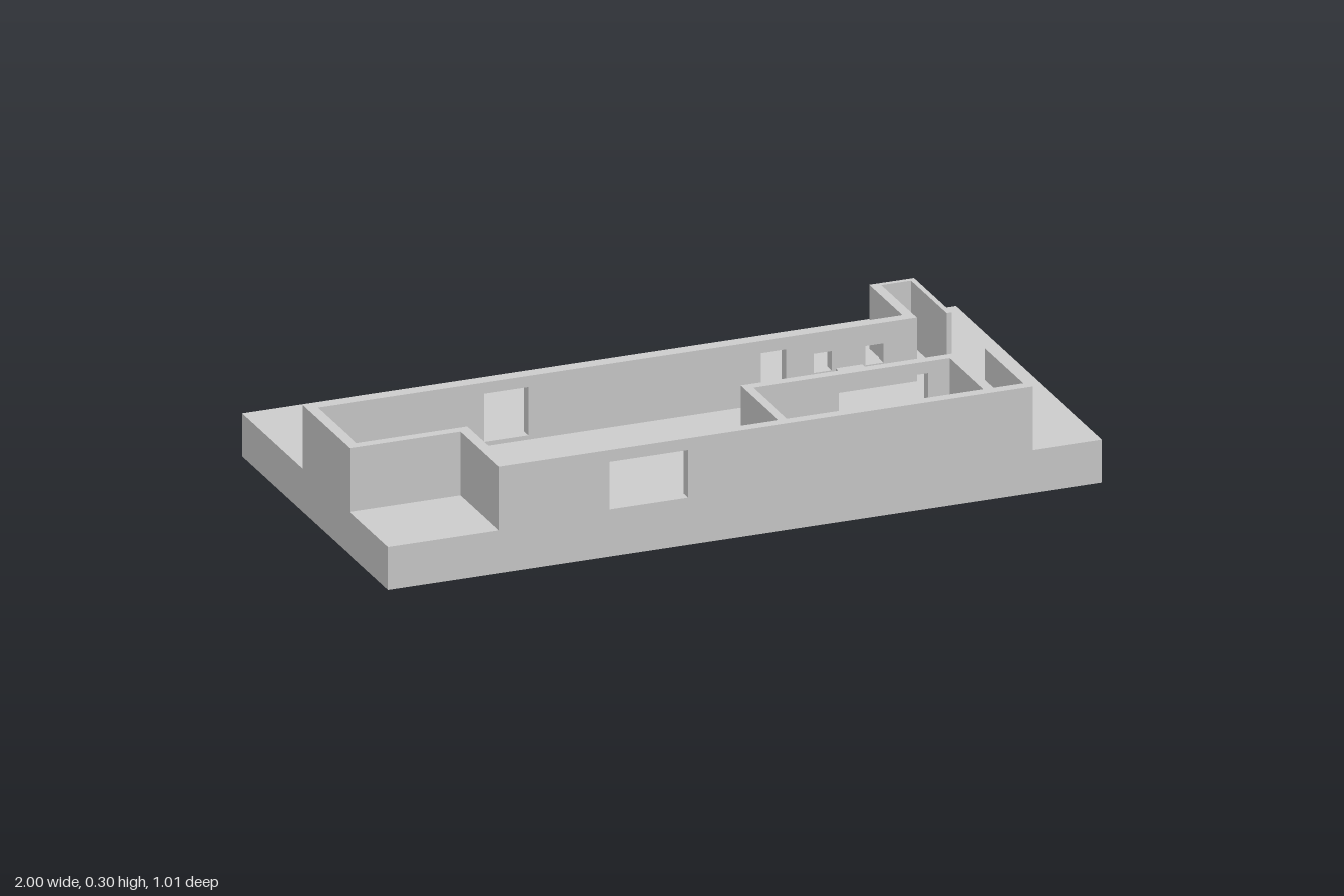
import * as THREE from 'three';

const FLOOR = 0.12, TOP = 0.298;
const material = new THREE.MeshStandardMaterial({ color: 0xcccccc, flatShading: true });

// Box given by its extents
function block(name, x0, x1, y0, y1, z0, z1) {
  const geo = new THREE.BoxGeometry(x1 - x0, y1 - y0, z1 - z0);
  geo.translate((x0 + x1) / 2, (y0 + y1) / 2, (z0 + z1) / 2);
  const mesh = new THREE.Mesh(geo, material);
  mesh.name = name;
  return mesh;
}

// Solid wall standing on the slab
const wall = (name, x0, x1, z0, z1) => block(name, x0, x1, FLOOR, TOP, z0, z1);

// Rectangle traced as a closed outline
function rect(path, x0, x1, y0, y1) {
  path.moveTo(x0, y0);
  path.lineTo(x1, y0);
  path.lineTo(x1, y1);
  path.lineTo(x0, y1);
  path.closePath();
  return path;
}

// Wall running along x with openings [x0, x1, y0, y1]
function piercedWall(name, x0, x1, z0, z1, openings) {
  const shape = rect(new THREE.Shape(), x0, x1, FLOOR, TOP);
  for (const o of openings) shape.holes.push(rect(new THREE.Path(), ...o));
  const geo = new THREE.ExtrudeGeometry(shape, { depth: z1 - z0, bevelEnabled: false });
  geo.translate(0, 0, z0);
  const mesh = new THREE.Mesh(geo, material);
  mesh.name = name;
  return mesh;
}

export function createModel() {
  const model = new THREE.Group();
  model.name = 'floorPlanModel';

  model.add(
    block('baseSlab', -1, 1, 0, FLOOR, -0.505, 0.505),

    // Long walls with windows
    piercedWall('backWall', -1, 0.68, -0.085, -0.055, [
      [-0.505, -0.38, 0.132, 0.267],
      [0.27, 0.343, 0.132, 0.264],
      [0.42, 0.47, 0.186, 0.24],
      [0.565, 0.615, 0.186, 0.24],
    ]),
    piercedWall('frontWall', -0.69, 0.805, 0.475, 0.505, [[-0.38, -0.16, 0.132, 0.265]]),

    // Left wing
    wall('leftEndWall', -1, -0.97, -0.055, 0.24),
    wall('leftFrontWall', -0.97, -0.66, 0.213, 0.24),
    wall('leftReturnWall', -0.69, -0.66, 0.24, 0.475),

    // Enclosed front room
    piercedWall('roomBackWall', 0.105, 0.708, 0.213, 0.24, [[0.37, 0.62, 0.132, 0.265]]),
    wall('roomLeftWall', 0.105, 0.13, 0.24, 0.475),
    wall('roomRightWall', 0.68, 0.708, 0.24, 0.475),

    // Narrow recesses at the right end
    wall('rearRecessInnerWall', 0.68, 0.708, -0.3, -0.055),
    wall('rearRecessBackWall', 0.68, 0.805, -0.314, -0.3),
    wall('rearRecessOuterWall', 0.791, 0.805, -0.3, -0.055),
    wall('frontRecessOuterWall', 0.791, 0.805, 0.213, 0.475),

    // Small shelf on the back wall
    block('shelf', 0.482, 0.556, 0.178, 0.19, -0.055, -0.01),
  );
  return model;
}
